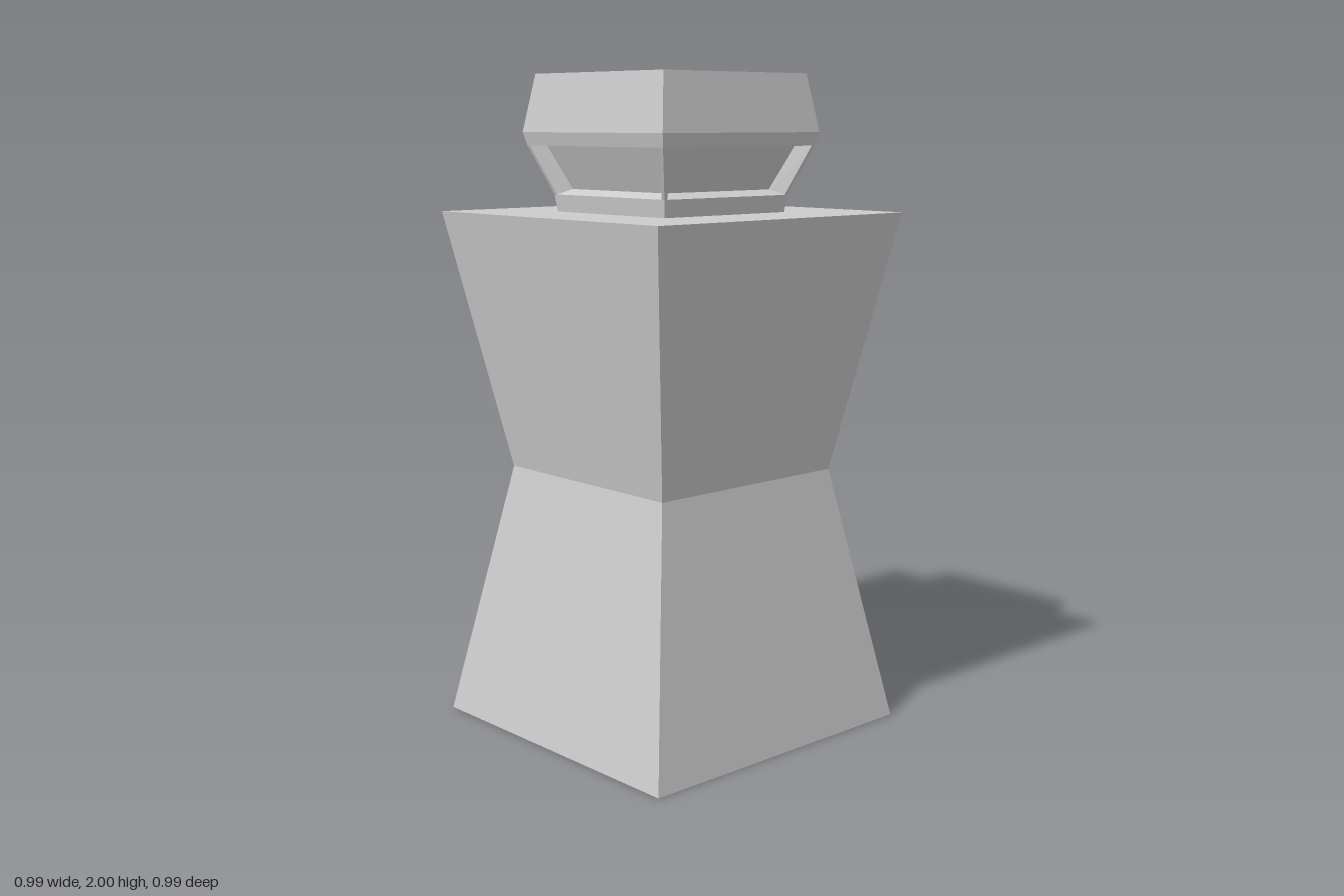
import * as THREE from 'three';

const material = new THREE.MeshStandardMaterial({ color: 0xcccccc, flatShading: true });

// Square solid from a profile of [half width, height], bottom to top
function squareLoft(name, profile) {
  const points = profile.map(([half, y]) => new THREE.Vector2(half * Math.SQRT2, y));
  const mesh = new THREE.Mesh(new THREE.LatheGeometry(points, 4, Math.PI / 4), material);
  mesh.name = name;
  return mesh;
}

// Slanted corner post: a kite section lofted from the sill up to the lid
function postGeometry() {
  const face = 0.012;
  const section = (h, c, y) => [
    [h - face, y, h], [h, y, h], [h, y, h - face], [c, y, c],
  ];
  const bottom = section(0.25, 0.203, 1.64);
  const top = section(0.307, 0.265, 1.787);
  const positions = [];
  for (let i = 0; i < 4; i++) {
    const j = (i + 1) % 4;
    for (const p of [bottom[i], bottom[j], top[j], bottom[i], top[j], top[i]]) positions.push(...p);
  }
  const geometry = new THREE.BufferGeometry();
  geometry.setAttribute('position', new THREE.Float32BufferAttribute(positions, 3));
  geometry.computeVertexNormals();
  return geometry;
}

export function createModel() {
  const model = new THREE.Group();
  model.name = 'waistedPillar';

  // Waisted body
  model.add(squareLoft('body', [[0, 0], [0.495, 0], [0.347, 0.795], [0.495, 1.588], [0, 1.588]]));

  // Head: collar, sloping sill, recessed core, overhanging lid
  const head = new THREE.Group();
  head.name = 'head';
  head.add(squareLoft('lantern', [
    [0.243, 1.588], [0.25, 1.64], [0.21, 1.656], [0.265, 1.787],
    [0.307, 1.787], [0.317, 1.827], [0.288, 2], [0, 2],
  ]));

  // Corner posts framing the four recesses
  const post = postGeometry();
  for (let i = 0; i < 4; i++) {
    const mesh = new THREE.Mesh(post, material);
    mesh.name = 'cornerPost';
    mesh.rotation.y = i * Math.PI / 2;
    head.add(mesh);
  }
  model.add(head);
  return model;
}
